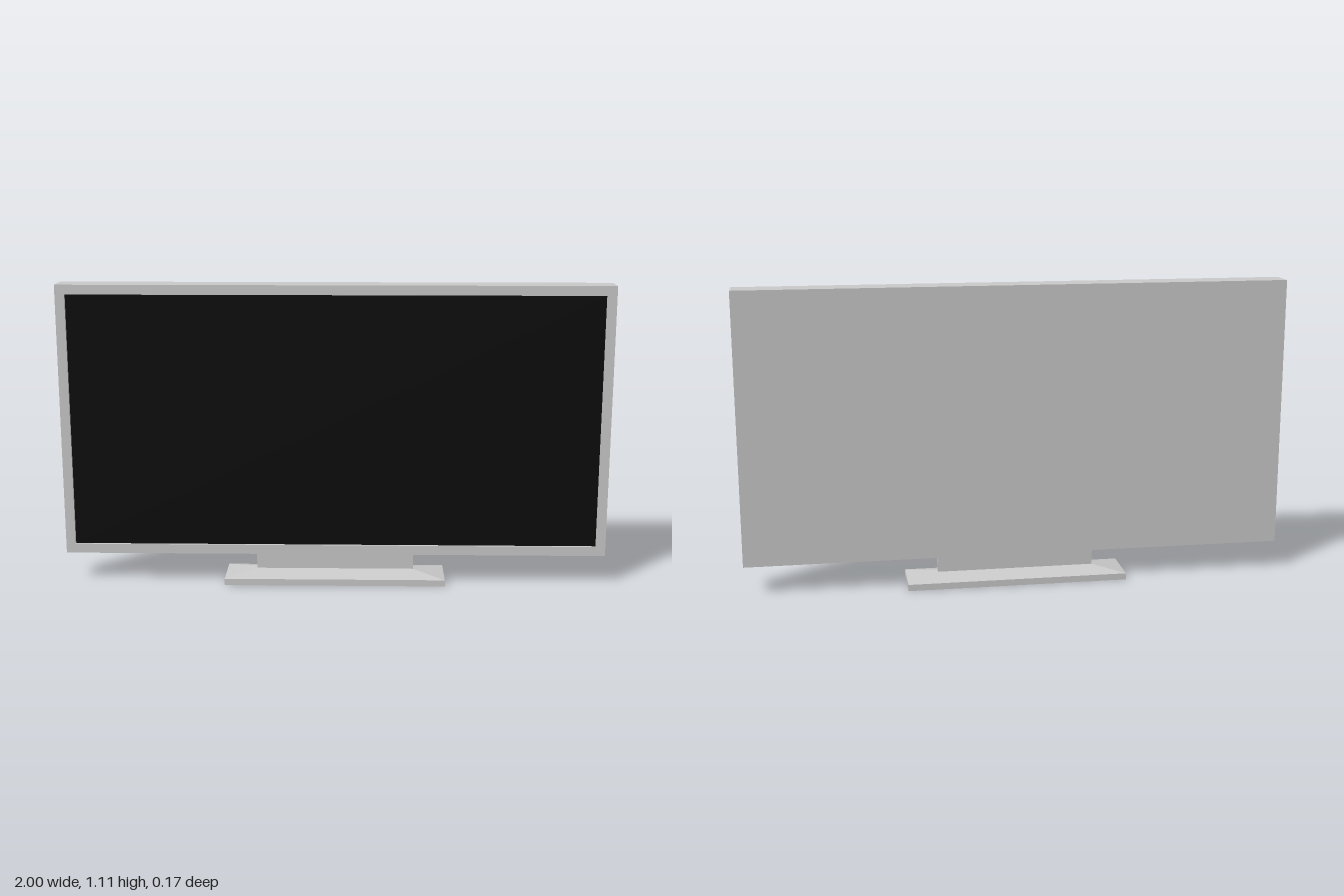
import * as THREE from 'three';

const WIDTH = 2, BOTTOM = 0.11, TOP = 1.11, DEPTH = 0.1;
const BORDER = 0.035, RECESS = 0.01;
const BASE = { w: 0.816, d: 0.174, h: 0.024 };
const NECK = { w: 0.584, d: 0.027, y: 0.043 };

const grey = new THREE.MeshStandardMaterial({ color: 0xcccccc, flatShading: true });
const black = new THREE.MeshStandardMaterial({ color: 0x0a0a0a });

function box(name, w, y0, y1, z0, z1, material = grey) {
  const geometry = new THREE.BoxGeometry(w, y1 - y0, z1 - z0);
  geometry.translate(0, (y0 + y1) / 2, (z0 + z1) / 2);
  const mesh = new THREE.Mesh(geometry, material);
  mesh.name = name;
  return mesh;
}

function rectangle(PathType, x, y0, y1) {
  return new PathType([[-x, y0], [x, y0], [x, y1], [-x, y1]].map(p => new THREE.Vector2(...p)));
}

export function createModel() {
  const model = new THREE.Group();
  model.name = 'television';
  const front = DEPTH / 2, screenZ = front - RECESS;

  // Housing behind the screen
  model.add(box('housing', WIDTH, BOTTOM, TOP, -front, screenZ));

  // Raised border around the screen
  const outline = rectangle(THREE.Shape, WIDTH / 2, BOTTOM, TOP);
  outline.holes.push(rectangle(THREE.Path, WIDTH / 2 - BORDER, BOTTOM + BORDER, TOP - BORDER));
  const bezel = new THREE.Mesh(
    new THREE.ExtrudeGeometry(outline, { depth: RECESS, bevelEnabled: false }), grey);
  bezel.position.z = screenZ;
  bezel.name = 'bezel';
  model.add(bezel);

  // Recessed dark screen
  model.add(box('screen', WIDTH - 2 * BORDER, BOTTOM + BORDER, TOP - BORDER,
    screenZ - 0.002, screenZ + 0.001, black));

  // Stand: flat foot, sloped top narrowing to the neck, upright neck
  const stand = new THREE.Group();
  stand.name = 'stand';
  stand.add(box('foot', BASE.w, 0, BASE.h, -BASE.d / 2, BASE.d / 2));

  const slope = box('footSlope', BASE.w, BASE.h, NECK.y, -BASE.d / 2, BASE.d / 2);
  const pos = slope.geometry.attributes.position;
  for (let i = 0; i < pos.count; i++) {
    if (pos.getY(i) > (BASE.h + NECK.y) / 2) {
      pos.setX(i, Math.sign(pos.getX(i)) * NECK.w / 2);
      pos.setZ(i, Math.sign(pos.getZ(i)) * NECK.d / 2);
    }
  }
  slope.geometry.computeVertexNormals();
  stand.add(slope);

  stand.add(box('neck', NECK.w, NECK.y, BOTTOM, -NECK.d / 2, NECK.d / 2));
  model.add(stand);
  return model;
}
